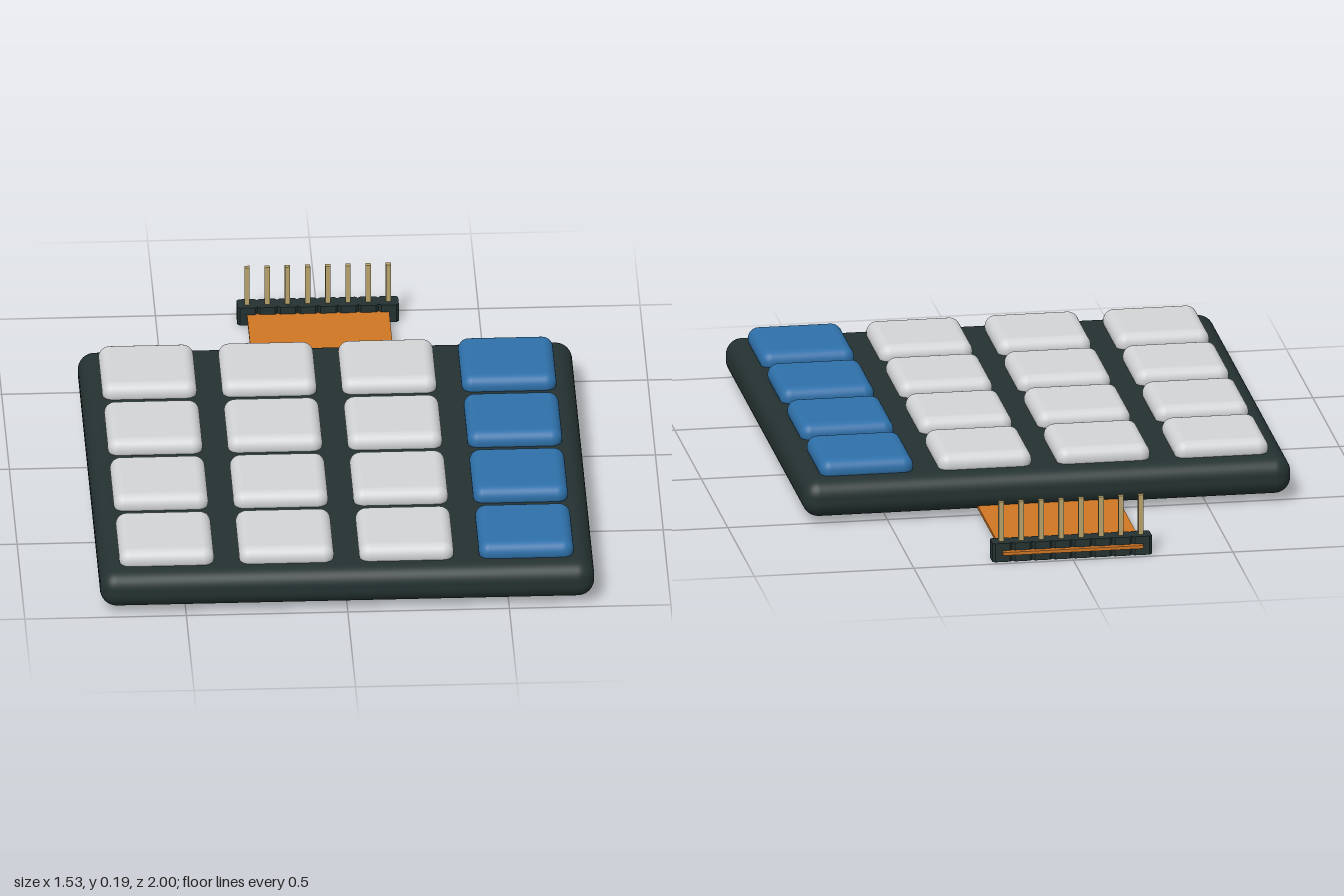
import * as THREE from 'three';
import { RoundedBoxGeometry } from 'three/addons/geometries/RoundedBoxGeometry.js';

const material = (name, color) => {
  const m = new THREE.MeshStandardMaterial({ color });
  m.name = name;
  return m;
};

export function createModel() {
  const model = new THREE.Group();
  model.name = 'keypad';
  const caseDark = material('case dark green', 0x243231);
  const keyWhite = material('key light grey', 0xd3d4d6);
  const keyBlue = material('key blue', 0x2e70a9);
  const ribbonOrange = material('ribbon orange', 0xd07624);
  const pinBrass = material('pin brass', 0xb9a46c);

  const add = (name, geometry, mat, x, y, z, parent = model) => {
    const mesh = new THREE.Mesh(geometry, mat);
    mesh.name = name;
    mesh.position.set(x, y, z);
    parent.add(mesh);
    return mesh;
  };

  // Pillow-edged case
  const centreZ = 0.2325;
  add('case', new RoundedBoxGeometry(1.53, 0.12, 1.535, 5, 0.052), caseDark, 0, 0.08, centreZ);

  // Four by four keys, the model's left column blue
  const keys = new THREE.Group();
  keys.name = 'keys';
  model.add(keys);
  const keyGeometry = new RoundedBoxGeometry(0.294, 0.07, 0.294, 5, 0.034);
  const pitch = 0.371;
  for (let row = 0; row < 4; row++) {
    for (let col = 0; col < 4; col++) {
      add(`key${row + 1}${col + 1}`, keyGeometry, col === 3 ? keyBlue : keyWhite,
        (col - 1.5) * pitch, 0.153, centreZ + (row - 1.5) * pitch, keys);
    }
  }

  // Flat ribbon leaving the back of the case
  add('ribbon', new THREE.BoxGeometry(0.44, 0.01, 0.52), ribbonOrange, 0, 0.031, -0.74);

  // Pin header: chamfered housings in a row, one pin in each
  const header = new THREE.Group();
  header.name = 'pinHeader';
  header.position.z = -0.953;
  model.add(header);
  const hx = 0.03125, hz = 0.03, c = 0.008;
  const outline = new THREE.Shape([
    [-hx, -hz + c], [-hx + c, -hz], [hx - c, -hz], [hx, -hz + c],
    [hx, hz - c], [hx - c, hz], [-hx + c, hz], [-hx, hz - c],
  ].map(([x, y]) => new THREE.Vector2(x, y)));
  const housingGeometry = new THREE.ExtrudeGeometry(outline, { depth: 0.06, bevelEnabled: false });
  housingGeometry.rotateX(-Math.PI / 2);
  const pinGeometry = new THREE.BoxGeometry(0.016, 0.186, 0.016);
  for (let i = 0; i < 8; i++) {
    const x = (i - 3.5) * 0.0625;
    add(`housing${i + 1}`, housingGeometry, caseDark, x, 0, 0, header);
    add(`pin${i + 1}`, pinGeometry, pinBrass, x, 0.095, 0, header);
  }

  return model;
}
